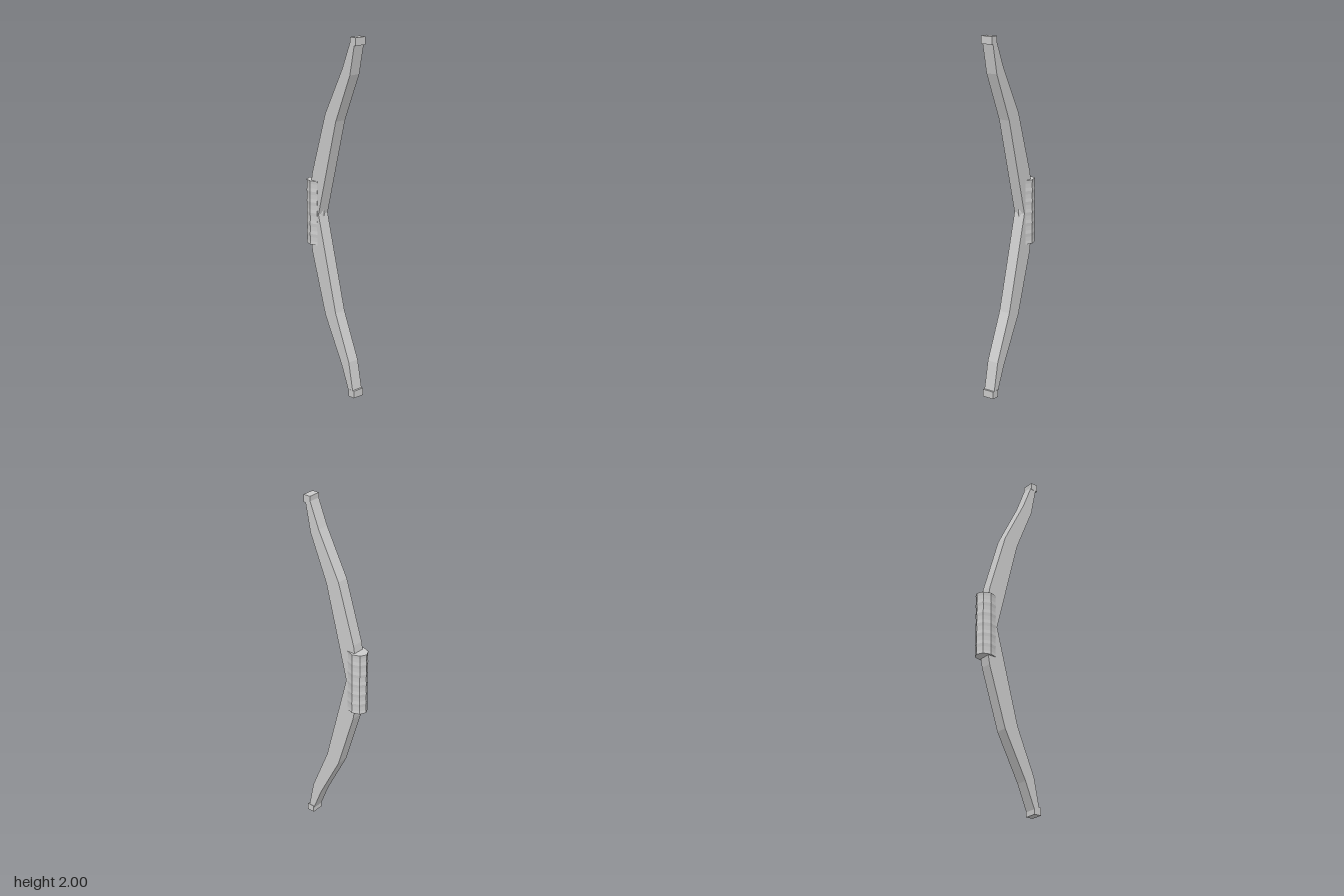
import * as THREE from 'three';

export function createModel() {
  const bow = new THREE.Group();
  bow.name = 'bow';
  const material = new THREE.MeshStandardMaterial({ color: 0xcccccc, flatShading: true });
  const add = (name, geometry, x, y, z) => {
    const mesh = new THREE.Mesh(geometry, material);
    mesh.name = name;
    mesh.position.set(x, y, z);
    bow.add(mesh);
    return mesh;
  };

  // Recurved limbs: upper half of the outline, [x, height above the middle]
  const inner = [[-0.088, 0], [0.05, 0.54], [0.157, 0.8], [0.193, 0.98]];
  const outer = [[0.16, 0.98], [0.1, 0.83], [-0.033, 0.57], [-0.137, 0.23], [-0.147, 0.17]];
  const upper = [...inner, ...outer];
  const lower = upper.slice(1).reverse().map(([x, y]) => [x, -y]);
  const outline = [...upper, ...lower].map(([x, y]) => new THREE.Vector2(x, y));
  const depth = 0.068;
  const limbs = new THREE.ExtrudeGeometry(new THREE.Shape(outline), { depth, bevelEnabled: false });
  add('limbs', limbs, 0, 1, -depth / 2);

  // Nock blocks at both tips
  for (const [name, y] of [['upperNock', 1.979], ['lowerNock', 0.021]]) {
    add(name, new THREE.BoxGeometry(0.043, 0.042, 0.07), 0.1785, y, 0);
  }

  // Eight-sided grip with slightly raised wrap bands
  const half = 0.182, bands = 6, step = (2 * half) / bands;
  const profile = [new THREE.Vector2(0, -half), new THREE.Vector2(1, -half)];
  for (let i = 0; i < bands; i++) {
    const y = -half + i * step;
    profile.push(new THREE.Vector2(0.96, y + step * 0.3));
    profile.push(new THREE.Vector2(0.96, y + step * 0.7));
    profile.push(new THREE.Vector2(1, y + step));
  }
  profile.push(new THREE.Vector2(0, half));
  const grip = add('grip', new THREE.LatheGeometry(profile, 8), -0.14, 1.003, 0);
  grip.scale.set(0.061, 1, 0.05);

  return bow;
}
